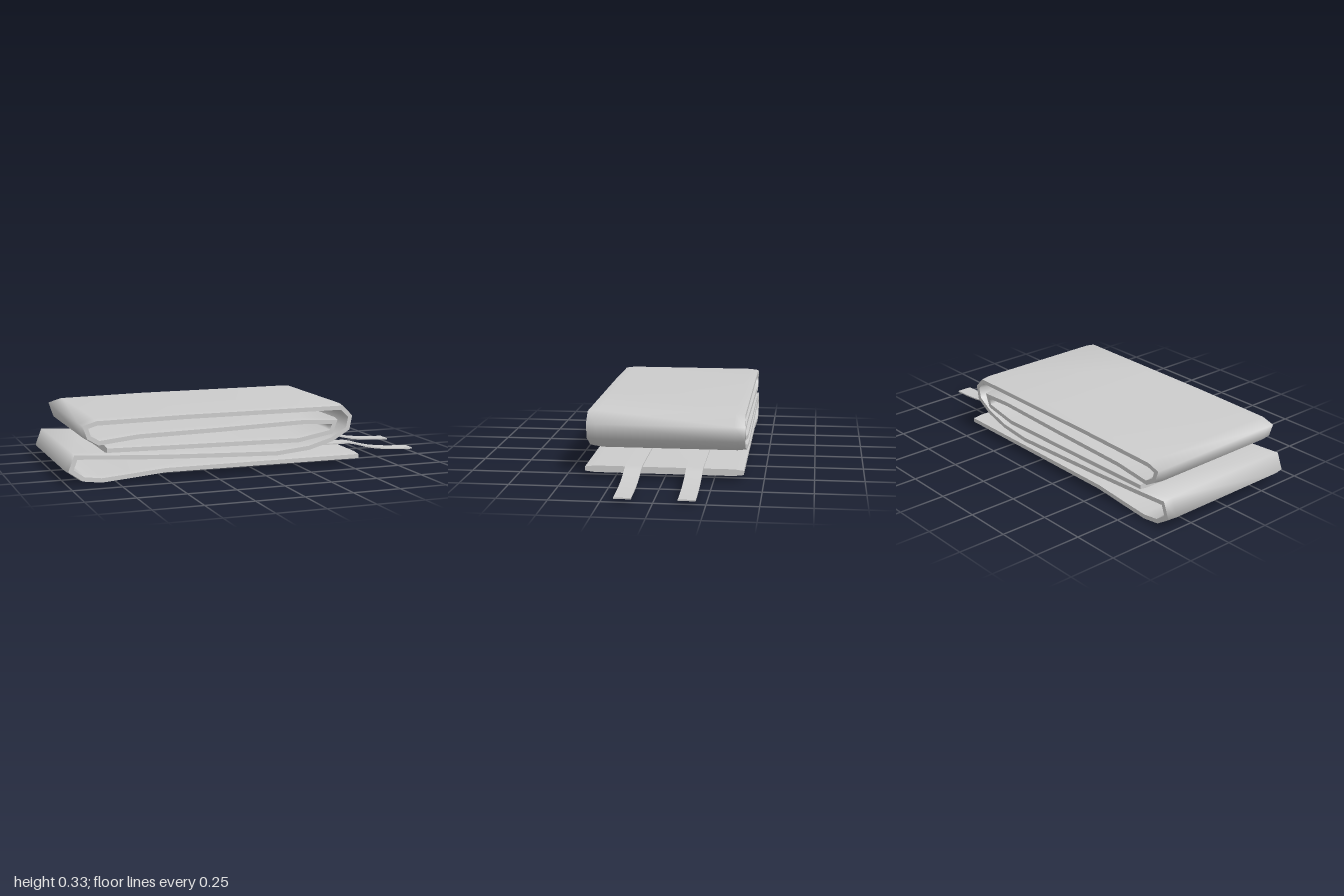
import * as THREE from 'three';

const grey = new THREE.MeshStandardMaterial({ color: 0xcccccc });

// Sweeps a flat band of given half width along an x/y path; the rims thin out over the bevel.
function band(name, path, halfWidth, thickness, rimThickness, bevel) {
  const h = thickness / 2, r = rimThickness / 2, w = halfWidth, b = halfWidth - bevel;
  // Four strips of [z, offset along the path normal]: upper face, rim, lower face, rim
  const strips = [
    [[-w, r], [-b, h], [b, h], [w, r]],
    [[w, r], [w, -r]],
    [[w, -r], [b, -h], [-b, -h], [-w, -r]],
    [[-w, -r], [-w, r]],
  ];
  const pts = path.map(([x, y]) => new THREE.Vector2(x, y));
  const last = pts.length - 1;

  // Mitred normals keep the thickness constant through the folds
  const dirs = pts.slice(1).map((p, i) => p.clone().sub(pts[i]).normalize());
  const normals = pts.map((p, i) => {
    const a = dirs[Math.max(i - 1, 0)], c = dirs[Math.min(i, last - 1)];
    const t = a.clone().add(c).normalize();
    return new THREE.Vector2(-t.y, t.x).divideScalar(Math.max(t.dot(a), 0.6));
  });

  const positions = [], index = [];
  const add = (i, [z, o]) => {
    positions.push(pts[i].x + normals[i].x * o, pts[i].y + normals[i].y * o, z);
    return positions.length / 3 - 1;
  };
  for (const strip of strips) {
    const rows = pts.map((_, i) => strip.map((s) => add(i, s)));
    for (let i = 0; i < last; i++) {
      for (let j = 0; j < strip.length - 1; j++) {
        const [p, q, u, v] = [rows[i][j], rows[i][j + 1], rows[i + 1][j], rows[i + 1][j + 1]];
        index.push(p, q, u, q, v, u);
      }
    }
  }

  // Flat ends
  const outline = [...strips[0], ...strips[2]];
  for (const i of [0, last]) {
    const ring = outline.map((s) => add(i, s));
    for (let k = 1; k < ring.length - 1; k++) {
      if (i === 0) index.push(ring[0], ring[k + 1], ring[k]);
      else index.push(ring[0], ring[k], ring[k + 1]);
    }
  }

  const geometry = new THREE.BufferGeometry();
  geometry.setAttribute('position', new THREE.Float32BufferAttribute(positions, 3));
  geometry.setIndex(index);
  geometry.computeVertexNormals();
  const mesh = new THREE.Mesh(geometry, grey);
  mesh.name = name;
  return mesh;
}

export function createModel() {
  const model = new THREE.Group();
  model.name = 'foldedBlanket';

  // Centre line of the cloth, from the loose bottom end to the tucked inner end
  const cloth = [
    [0.565, 0.045], [0, 0.046], [-0.5, 0.046], [-0.68, 0.03], [-0.83, 0.018], [-0.92, 0.03],
    [-0.983, 0.075], [-0.957, 0.142], [-0.75, 0.128], [-0.5, 0.114], [-0.2, 0.102], [0.1, 0.091],
    [0.28, 0.108], [0.41, 0.145], [0.5, 0.198], [0.513, 0.262], [0.465, 0.31],
    [0, 0.31], [-0.4, 0.31], [-0.85, 0.304], [-0.907, 0.287], [-0.89, 0.235], [-0.84, 0.205],
    [-0.64, 0.226], [-0.2, 0.234], [0.25, 0.246], [0.425, 0.237], [0.405, 0.185],
    [0.22, 0.152], [-0.3, 0.158], [-0.8, 0.165],
  ];
  model.add(band('cloth', cloth, 0.4, 0.034, 0.022, 0.05));

  // Two thin straps leaving the folds and drooping to the ground
  const strapPath = [
    [0.05, 0.077], [0.35, 0.076], [0.61, 0.075], [0.65, 0.067], [0.71, 0.05],
    [0.77, 0.037], [0.84, 0.028], [0.91, 0.023], [1, 0.02],
  ];
  for (const [name, z] of [['frontStrap', 0.145], ['backStrap', -0.16]]) {
    const strap = band(name, strapPath, 0.042, 0.007, 0.007, 0.004);
    strap.position.z = z;
    model.add(strap);
  }
  return model;
}
